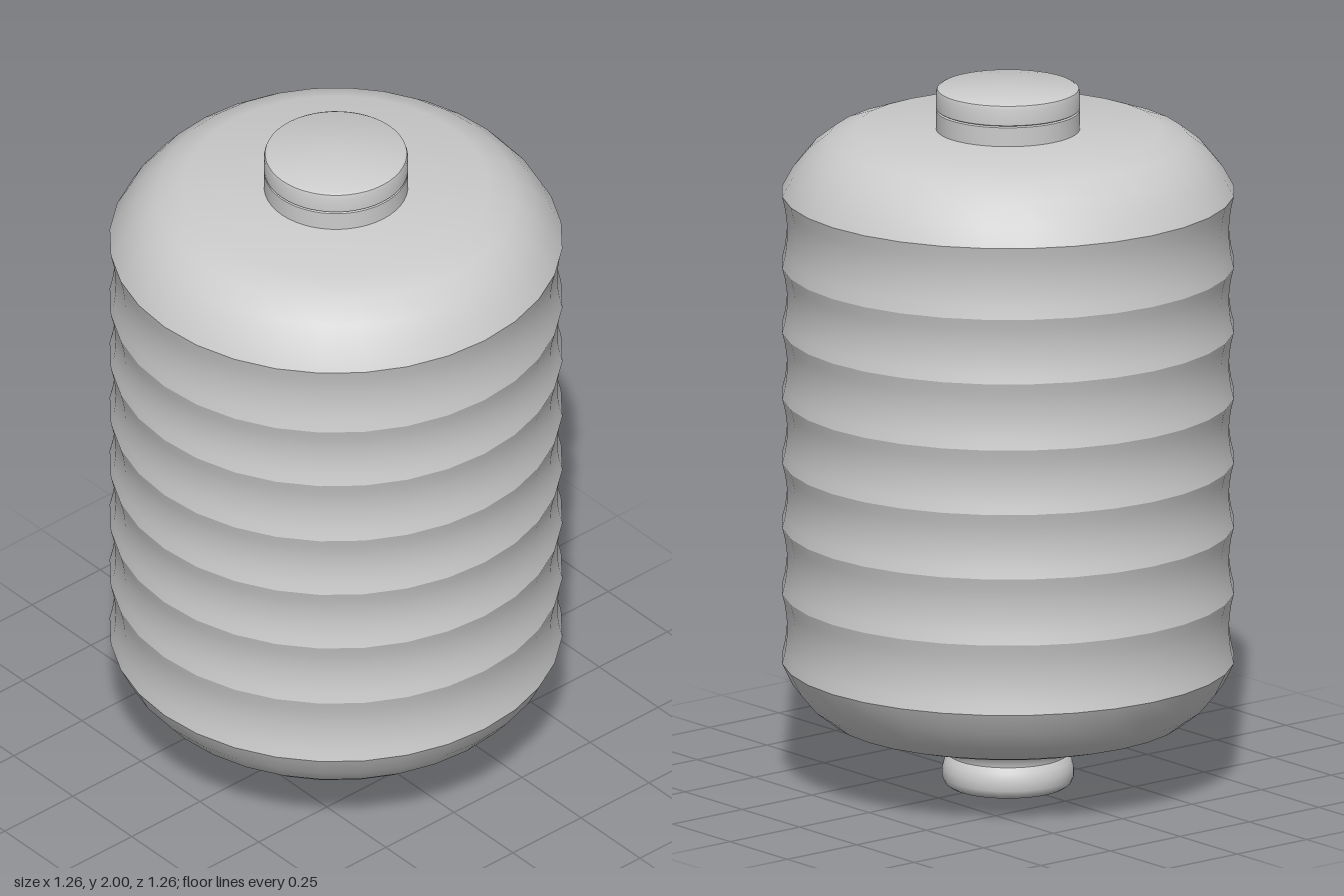
import * as THREE from 'three';
import { toCreasedNormals } from 'three/addons/utils/BufferGeometryUtils.js';

const material = new THREE.MeshStandardMaterial({ color: 0xcccccc });

// Turned part from [radius, height] pairs listed bottom to top
function turned(name, profile, sides, crease) {
  const points = profile.map(([r, y]) => new THREE.Vector2(r, y));
  const geometry = toCreasedNormals(new THREE.LatheGeometry(points, sides), crease);
  const mesh = new THREE.Mesh(geometry, material);
  mesh.name = name;
  return mesh;
}

export function createModel() {
  const group = new THREE.Group();
  group.name = 'ribbedCanister';

  // Ribbed body: shallow concave bands between sharp ridges
  const ridges = [0.36, 0.56, 0.75, 0.935, 1.12, 1.31, 1.495, 1.7];
  const ridgeRadius = 0.63, valleyDepth = 0.014, steps = 6;
  const body = [[0, 0.178], [0.425, 0.178], [0.5, 0.2], [0.555, 0.243], [0.6, 0.298]];
  for (let i = 0; i < ridges.length - 1; i++) {
    for (let s = 0; s < steps; s++) {
      const t = s / steps;
      const y = THREE.MathUtils.lerp(ridges[i], ridges[i + 1], t);
      body.push([ridgeRadius - valleyDepth * 4 * t * (1 - t), y]);
    }
  }
  body.push([ridgeRadius, 1.7], [0.6, 1.755], [0.555, 1.81], [0.5, 1.853], [0.425, 1.88], [0, 1.88]);
  group.add(turned('ribbedBody', body, 32, 0.4));

  // Top cap with a fine groove and bevelled rim
  group.add(turned('topCap', [
    [0.2, 1.87], [0.2, 1.934], [0.195, 1.937], [0.2, 1.94],
    [0.2, 1.985], [0.197, 1.995], [0.188, 2], [0, 2],
  ], 48, 0.6));

  // Bottom knob: flared collar, narrow neck and rounded foot
  group.add(turned('bottomKnob', [
    [0, 0], [0.165, 0], [0.176, 0.008], [0.183, 0.025], [0.183, 0.05], [0.177, 0.072],
    [0.165, 0.088], [0.167, 0.1], [0.18, 0.118], [0.198, 0.14], [0.209, 0.162], [0.211, 0.185],
  ], 48, 0.8));

  return group;
}
